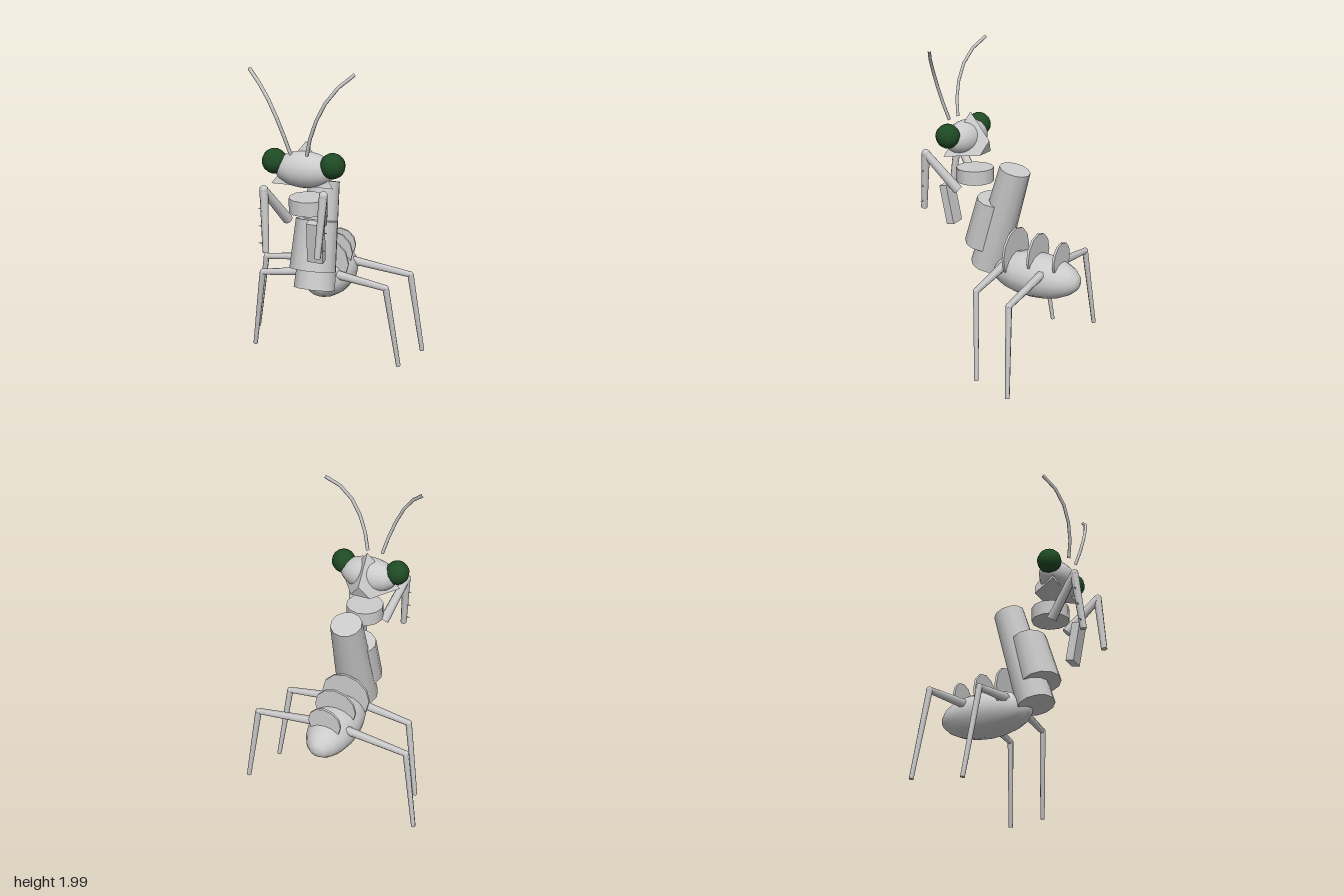
import * as THREE from 'three';
import { ConvexGeometry } from 'three/addons/geometries/ConvexGeometry.js';

const grey = new THREE.MeshStandardMaterial({ color: 0xcccccc });
const green = new THREE.MeshStandardMaterial({ color: 0x1f4a24 });
const V = (x, y, z) => new THREE.Vector3(x, y, z);
const UP = V(0, 1, 0);

export function createModel() {
  const model = new THREE.Group();

  const add = (name, geometry, position = V(0, 0, 0), material = grey, parent = model) => {
    const mesh = new THREE.Mesh(geometry, material);
    mesh.name = name;
    mesh.position.copy(position);
    parent.add(mesh);
    return mesh;
  };

  // Tapered rod between two points
  const rod = (name, a, b, ra, rb, parent, sides = 6) => {
    const dir = b.clone().sub(a);
    const geometry = new THREE.CylinderGeometry(rb, ra, dir.length(), sides);
    const mesh = add(name, geometry, a.clone().add(b).multiplyScalar(0.5), grey, parent);
    mesh.quaternion.setFromUnitVectors(UP, dir.normalize());
    return mesh;
  };

  // Leaning oval cylinder: each end has its own [x, z] radii
  const trunk = (name, bottom, top, rBottom, rTop) => {
    const mesh = rod(name, bottom, top, 1, 1, model, 12);
    const p = mesh.geometry.attributes.position;
    for (let i = 0; i < p.count; i++) {
      const r = p.getY(i) > 0 ? rTop : rBottom;
      p.setX(i, p.getX(i) * r[0]);
      p.setZ(i, p.getZ(i) * r[1]);
    }
    return mesh;
  };

  // Abdomen with three upright ridge discs
  const abdomen = new THREE.SphereGeometry(1, 16, 10).rotateX(-Math.PI / 2).scale(0.16, 0.145, 0.312);
  add('abdomen', abdomen, V(0, 0.565, -0.223));
  for (const [r, y, z] of [[0.165, 0.685, -0.075], [0.14, 0.7, -0.237], [0.11, 0.7, -0.4]]) {
    add('abdomenRidge', new THREE.CylinderGeometry(r, r, 0.015, 12).rotateX(Math.PI / 2), V(0, y, z));
  }

  // Thorax: tall rear cylinder and shorter, wider front one
  trunk('rearThorax', V(0, 0.573, 0.122), V(0, 1.235, -0.068), [0.138, 0.116], [0.1, 0.1]);
  trunk('frontThorax', V(0, 0.715, 0.157), V(0, 1.02, 0.078), [0.153, 0.121], [0.138, 0.106]);
  add('collar', new THREE.CylinderGeometry(0.12, 0.12, 0.09, 12), V(0, 1.165, 0.226));

  // Chest plate on the left side only
  const plate = add('chestPlate', new THREE.BoxGeometry(0.1, 0.26, 0.053), V(0.095, 0.975, 0.353));
  plate.rotation.set(0.176, 0, -0.04);

  // Head, with a three-sided tapered crest behind it
  add('head', new THREE.SphereGeometry(1, 16, 12).scale(0.19, 0.11, 0.108), V(0, 1.4, 0.287));
  add('headCrest', new ConvexGeometry([
    V(0, 1.567, 0.255), V(0.195, 1.31, 0.335), V(-0.195, 1.31, 0.335),
    V(0, 1.395, 0.118), V(0.065, 1.31, 0.148), V(-0.065, 1.31, 0.148),
  ]));

  for (const s of [1, -1]) {
    const side = s > 0 ? 'left' : 'right';
    const P = (x, y, z) => V(s * x, y, z);

    add(side + 'Eye', new THREE.SphereGeometry(0.077, 12, 10), P(0.183, 1.442, 0.307), green);

    // Antenna
    const curve = new THREE.CatmullRomCurve3([
      P(0.05, 1.51, 0.382), P(0.09, 1.65, 0.412), P(0.16, 1.81, 0.414),
      P(0.24, 1.92, 0.385), P(0.32, 1.99, 0.335),
    ]);
    add(side + 'Antenna', new THREE.TubeGeometry(curve, 5, 0.011, 6));

    // Folded grasping arm with outward spines
    const arm = new THREE.Group();
    arm.name = side + 'Arm';
    model.add(arm);
    const elbow = P(0.185, 1.308, 0.475);
    const wrist = P(0.162, 0.935, 0.515);
    rod('upperArm', P(0.11, 1.075, 0.285), elbow, 0.032, 0.026, arm, 8);
    add('elbow', new THREE.SphereGeometry(0.028, 8, 6), elbow, grey, arm);
    rod('forearm', elbow, wrist, 0.026, 0.02, arm, 8);
    for (const t of [0.3, 0.58, 0.86]) {
      const base = elbow.clone().lerp(wrist, t);
      rod('spine', base, base.clone().add(P(0.047, 0, 0)), 0.009, 0, arm, 5);
    }

    // Two walking legs
    for (const [name, hip, knee, foot] of [
      ['FrontLeg', P(0.1, 0.618, -0.04), P(0.425, 0.568, -0.04), P(0.51, 0.01, -0.088)],
      ['RearLeg', P(0.1, 0.622, -0.32), P(0.515, 0.568, -0.322), P(0.602, 0.01, -0.363)],
    ]) {
      const leg = new THREE.Group();
      leg.name = side + name;
      model.add(leg);
      rod('thigh', hip, knee, 0.029, 0.02, leg);
      add('knee', new THREE.SphereGeometry(0.021, 8, 6), knee, grey, leg);
      rod('shin', knee, foot, 0.021, 0.015, leg);
    }
  }

  return model;
}
